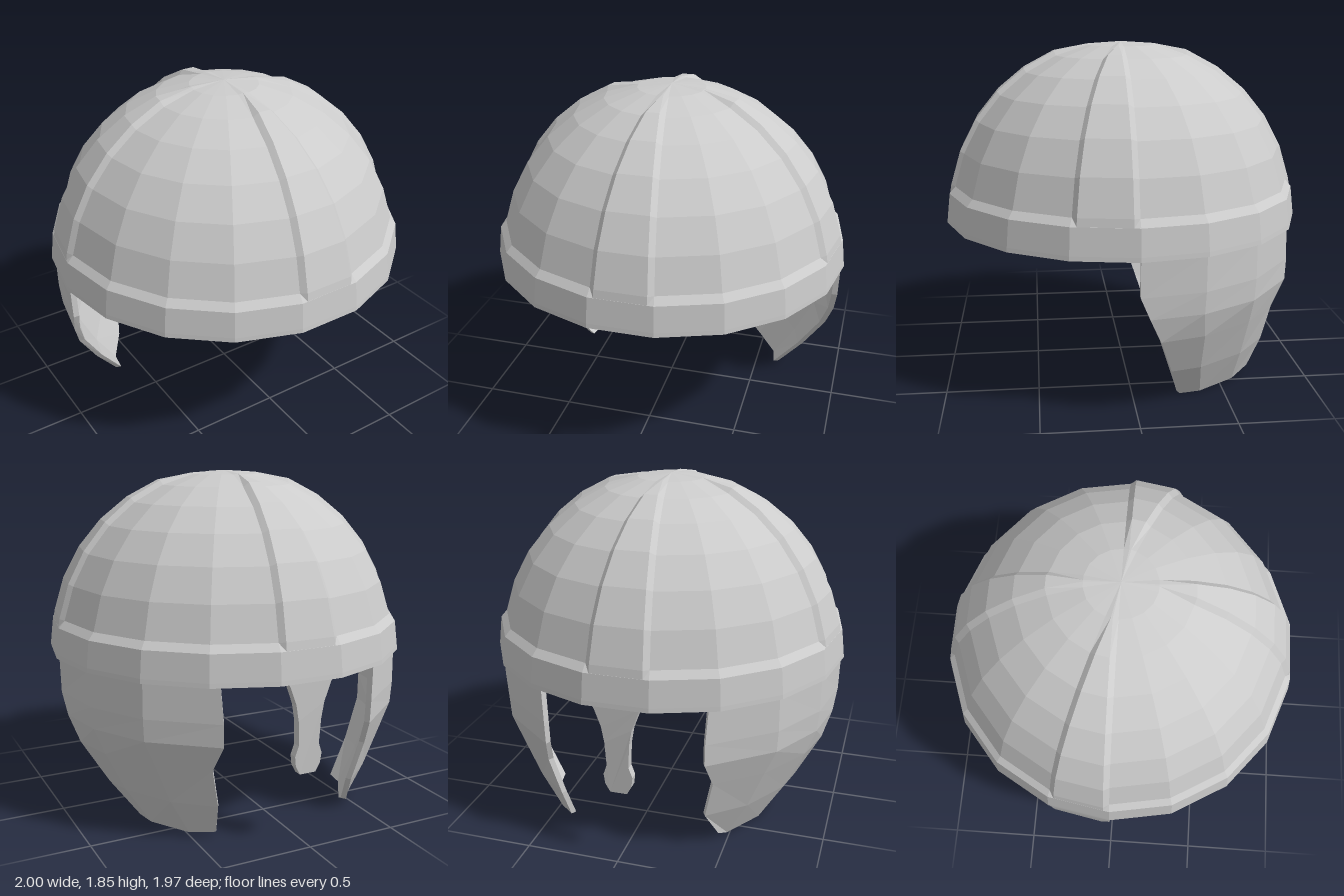
import * as THREE from 'three';

const material = new THREE.MeshStandardMaterial({ color: 0xcccccc, flatShading: true });
const rad = THREE.MathUtils.degToRad;
const CY = 0.882;       // centre height of the dome
const R = 0.966;        // radius of the recessed panels
const R_RIB = 0.992;    // radius of the raised ribs
const STEP = 11.25;     // elevation between dome rings

function addMesh(group, name, geometry) {
  const mesh = new THREE.Mesh(geometry, material);
  mesh.name = name;
  group.add(mesh);
  return mesh;
}

// Skin rows of [x, y, z] points, listed left to right and bottom to top
function skin(rows, closed = false, flip = false) {
  const pos = [];
  const n = rows[0].length;
  for (let i = 0; i < rows.length - 1; i++) {
    for (let j = 0; j < (closed ? n : n - 1); j++) {
      const k = (j + 1) % n;
      const a = rows[i][j], b = rows[i][k], c = rows[i + 1][k], d = rows[i + 1][j];
      for (const p of flip ? [a, c, b, a, d, c] : [a, b, c, a, c, d]) pos.push(...p);
    }
  }
  const geometry = new THREE.BufferGeometry();
  geometry.setAttribute('position', new THREE.Float32BufferAttribute(pos, 3));
  geometry.computeVertexNormals();
  return geometry;
}

// Hollow dome with the rim band and recessed panels in one profile
function domeGeometry() {
  const pts = [];
  const ring = (r, e) => pts.push(new THREE.Vector2(Math.max(0, r * Math.cos(rad(e))), CY + r * Math.sin(rad(e))));
  for (let k = 8; k >= 1; k--) ring(0.945, k * STEP);
  for (const [x, y] of [[0.95, 0.868], [1, 0.868], [0.998, 0.892], [0.981, 1.032]]) pts.push(new THREE.Vector2(x, y));
  for (let k = 1; k <= 8; k++) ring(R, k * STEP);
  const geometry = new THREE.LatheGeometry(pts, 18, rad(10)).toNonIndexed();
  geometry.computeVertexNormals();
  return geometry;
}

// One raised rib, a facet wide, with bevelled sides that fade out near the crown
function ribGeometry() {
  const c = Math.cos(rad(10)), s = Math.sin(rad(10));
  const rows = [8.7, 11.25, 22.5, 33.75, 45, 56.25, 67.5, 78.75, 90].map((e) => {
    const ce = Math.cos(rad(e)), se = Math.sin(rad(e));
    const half = R * ce * s;
    const top = Math.max(0, half - 0.028);
    const r = R + (R_RIB - R) * Math.min(1, top / 0.02);
    const at = (u, q) => [u, CY + q * se, q * ce * c];
    return [at(-half, R), at(-top, r), at(top, r), at(half, R)];
  });
  return skin(rows);
}

// Curved cheek guard: each row gives height, back and front radius, column angles
function cheekGeometry(side) {
  const chin = side > 0 ? 61 : 55;
  const rows = [
    [0.0, 0.69, 0.79, [22, 31, 50, chin]],
    [0.2, 0.81, 0.86, [13.5, 25, 45, 62]],
    [0.42, 0.925, 0.92, [7, 22, 42, 60.5]],
    [0.56, 0.965, 0.975, [3, 20, 40, 64]],
    [0.68, 0.98, 0.98, [0, 20, 40, 64]],
    [0.88, 0.985, 0.975, [0, 20, 40, 63]],
  ].map(([y, rb, rf, angles], i) => {
    const point = (a, j, inset) => {
      const r = rb + (rf - rb) * (j / 3) - inset;
      const lift = i === 0 && j === 3 ? 0.03 : 0;
      return [side * r * Math.cos(rad(a)), y + lift, -r * Math.sin(rad(a))];
    };
    const outer = angles.map((a, j) => point(a, j, 0));
    const inner = angles.map((a, j) => point(a, j, 0.032));
    return [...outer, ...inner.reverse()];
  });
  // Close the lower edge by folding it to the inner face
  const inner = rows[0].slice(4);
  rows.unshift([...inner.slice().reverse(), ...inner]);
  return skin(rows, true, side < 0);
}

// Nose guard: flat plate, flared at the top and rounded at the tip
function noseGeometry() {
  const edge = [[0.13, 0.88], [0.115, 0.85], [0.08, 0.755], [0.065, 0.67], [0.058, 0.54], [0.077, 0.485], [0.07, 0.43], [0.045, 0.385]];
  const outline = [...edge, ...edge.map(([x, y]) => [-x, y]).reverse()];
  const shape = new THREE.Shape(outline.map(([x, y]) => new THREE.Vector2(x, y)));
  const geometry = new THREE.ExtrudeGeometry(shape, { depth: 0.045, bevelEnabled: false });
  geometry.translate(0, 0, -0.97);
  // Lean the tip slightly inward
  const p = geometry.attributes.position;
  for (let i = 0; i < p.count; i++) p.setZ(i, p.getZ(i) + Math.max(0, 0.7 - p.getY(i)) * 0.04);
  geometry.computeVertexNormals();
  return geometry;
}

export function createModel() {
  const helmet = new THREE.Group();
  helmet.name = 'helmet';

  addMesh(helmet, 'dome', domeGeometry());

  const ribs = new THREE.Group();
  ribs.name = 'ribs';
  const rib = ribGeometry();
  for (const angle of [0, 80, 180, 260]) addMesh(ribs, 'rib', rib).rotation.y = rad(angle);
  helmet.add(ribs);

  addMesh(helmet, 'leftCheekGuard', cheekGeometry(1));
  addMesh(helmet, 'rightCheekGuard', cheekGeometry(-1));
  addMesh(helmet, 'noseGuard', noseGeometry());
  return helmet;
}
